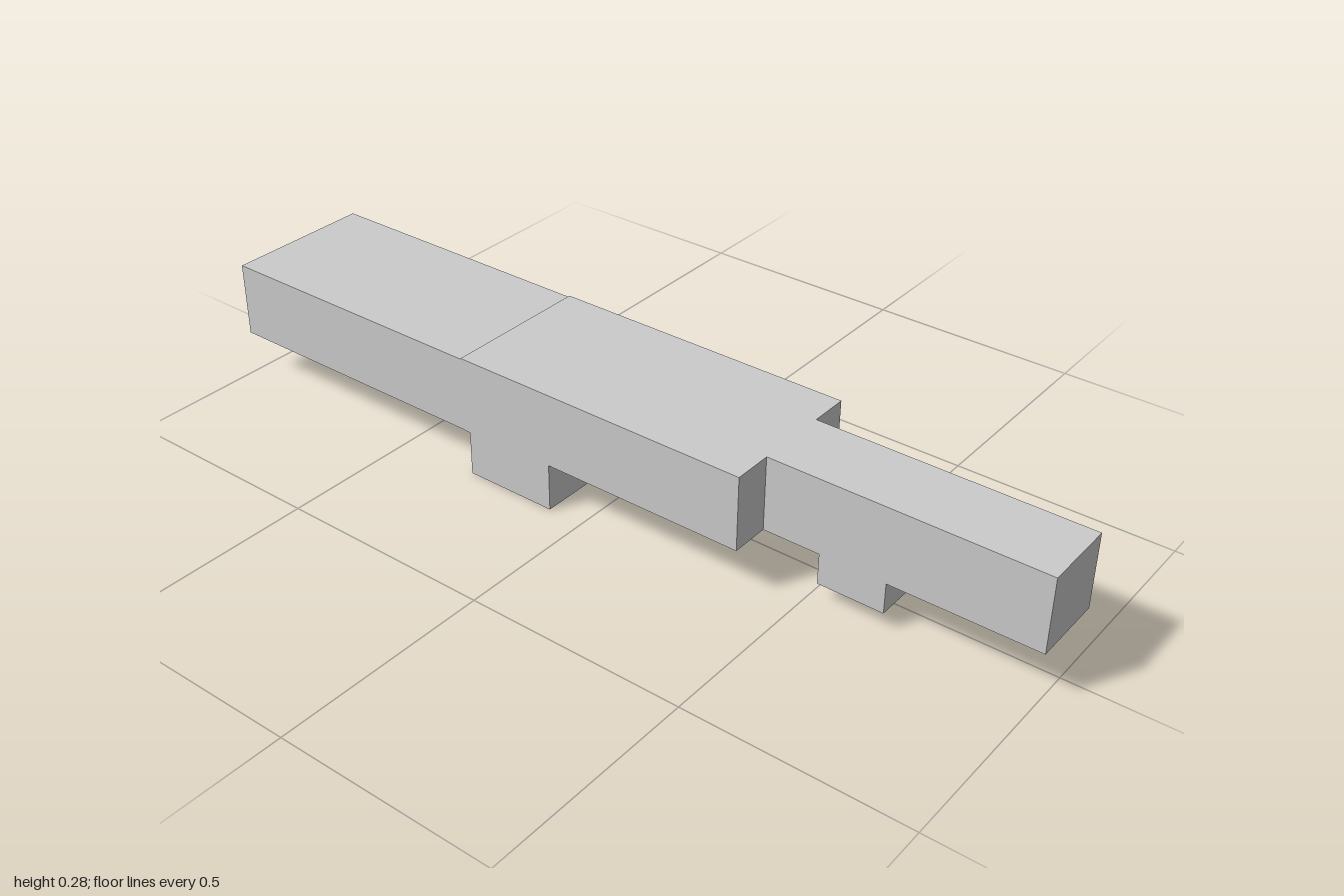
import * as THREE from 'three';

const material = new THREE.MeshStandardMaterial({ color: 0xcccccc, flatShading: true });

function addMesh(parent, name, geometry) {
  const mesh = new THREE.Mesh(geometry, material);
  mesh.name = name;
  parent.add(mesh);
  return mesh;
}

// Side profile of [z, y] points, extruded across the width and centred on x = 0
function sideProfile(points, width) {
  const shape = new THREE.Shape(points.map(([z, y]) => new THREE.Vector2(-z, y)));
  const geometry = new THREE.ExtrudeGeometry(shape, { depth: width, bevelEnabled: false });
  geometry.translate(0, 0, -width / 2);
  geometry.rotateY(Math.PI / 2);
  return geometry;
}

function rectangle(PathType, halfWidth, bottom, top) {
  return new PathType([
    new THREE.Vector2(-halfWidth, bottom),
    new THREE.Vector2(halfWidth, bottom),
    new THREE.Vector2(halfWidth, top),
    new THREE.Vector2(-halfWidth, top),
  ]);
}

export function createModel() {
  const model = new THREE.Group();
  model.name = 'steppedHousing';

  // Wide middle body with the deep block hanging under it
  addMesh(model, 'mainBody', sideProfile([
    [0.39, 0.28], [0.39, 0.11], [-0.085, 0.11], [-0.085, 0],
    [-0.305, 0], [-0.305, 0.103], [-0.32, 0.103], [-0.32, 0.28],
  ], 0.35));

  // Narrow front bar with its small lower tab
  addMesh(model, 'frontBar', sideProfile([
    [1, 0.28], [1, 0.11], [0.67, 0.11], [0.67, 0.04],
    [0.52, 0.04], [0.52, 0.11], [0.39, 0.11], [0.39, 0.28],
  ], 0.17));

  // Thin-walled rear sleeve, open at the back and a hair lower than the body
  const sleeve = rectangle(THREE.Shape, 0.174, 0.103, 0.277);
  sleeve.holes.push(rectangle(THREE.Path, 0.168, 0.109, 0.271));
  const sleeveGeometry = new THREE.ExtrudeGeometry(sleeve, { depth: 0.68, bevelEnabled: false });
  addMesh(model, 'rearSleeve', sleeveGeometry).position.z = -1;

  // Blocks inside the sleeve, leaving a central slot
  for (const side of [-1, 1]) {
    const block = addMesh(model, 'innerBlock', new THREE.BoxGeometry(0.13, 0.162, 0.48));
    block.position.set(side * 0.103, 0.19, -0.56);
  }

  return model;
}
